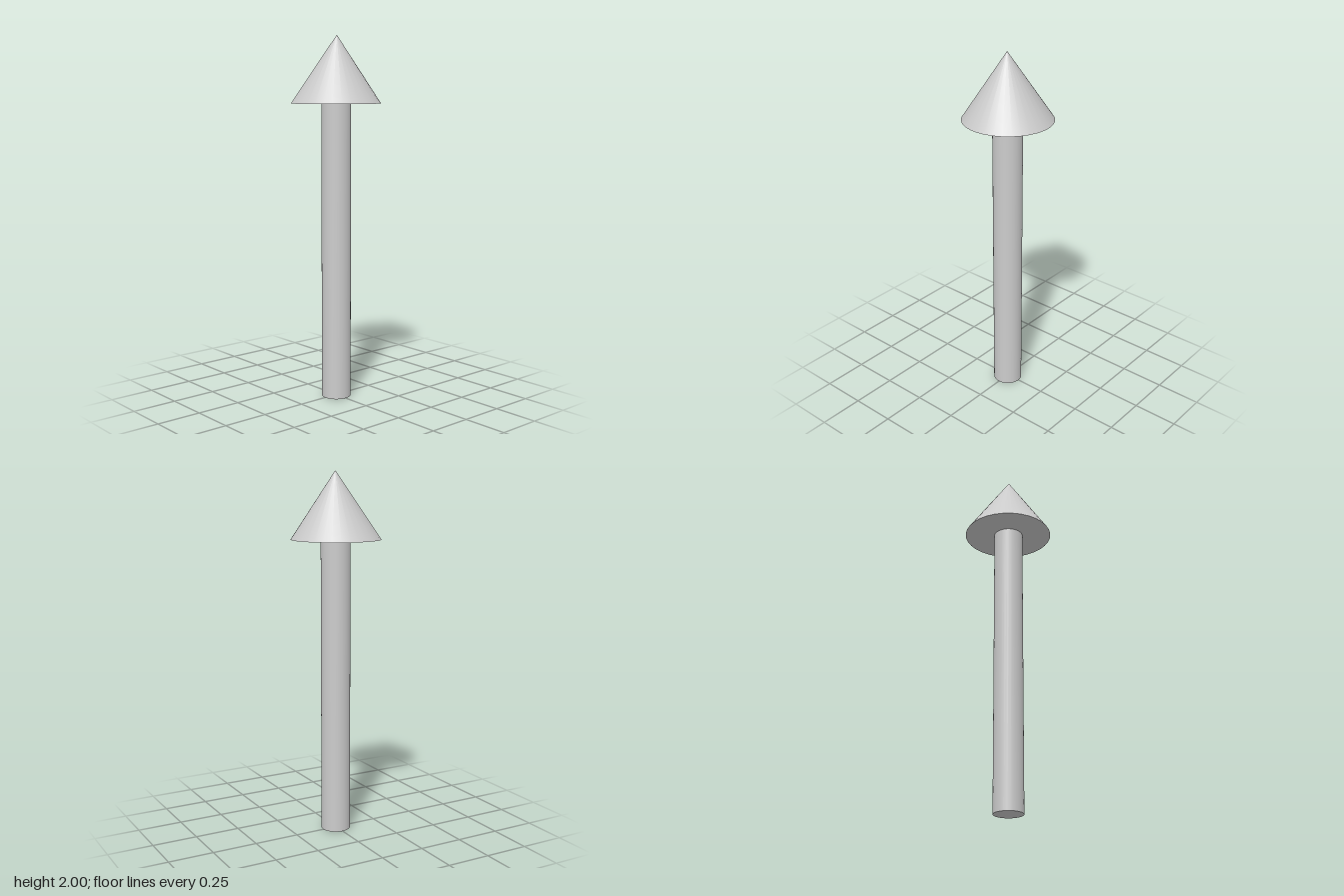
import * as THREE from 'three';

const SEGMENTS = 32;
const SHAFT_RADIUS = 0.081;
const HEAD_RADIUS = 0.245;
const HEAD_BASE = 1.635;
const TOP = 2;

export function createModel() {
  const model = new THREE.Group();
  model.name = 'arrow';
  const material = new THREE.MeshStandardMaterial({ color: 0xcccccc });

  // Straight round shaft, standing on the ground
  const shaft = new THREE.Mesh(
    new THREE.CylinderGeometry(SHAFT_RADIUS, SHAFT_RADIUS, HEAD_BASE, SEGMENTS),
    material
  );
  shaft.name = 'shaft';
  shaft.position.set(0, HEAD_BASE / 2, 0.003);

  // Conical head with a closed base; its tip leans a touch forward
  const height = TOP - HEAD_BASE;
  const cone = new THREE.ConeGeometry(HEAD_RADIUS, height, SEGMENTS);
  cone.translate(0, height / 2, 0);
  const lean = new THREE.Matrix4();
  lean.elements[6] = 0.007 / height; // z grows with y
  cone.applyMatrix4(lean);
  const head = new THREE.Mesh(cone, material);
  head.name = 'head';
  head.position.y = HEAD_BASE;

  model.add(shaft, head);
  return model;
}
